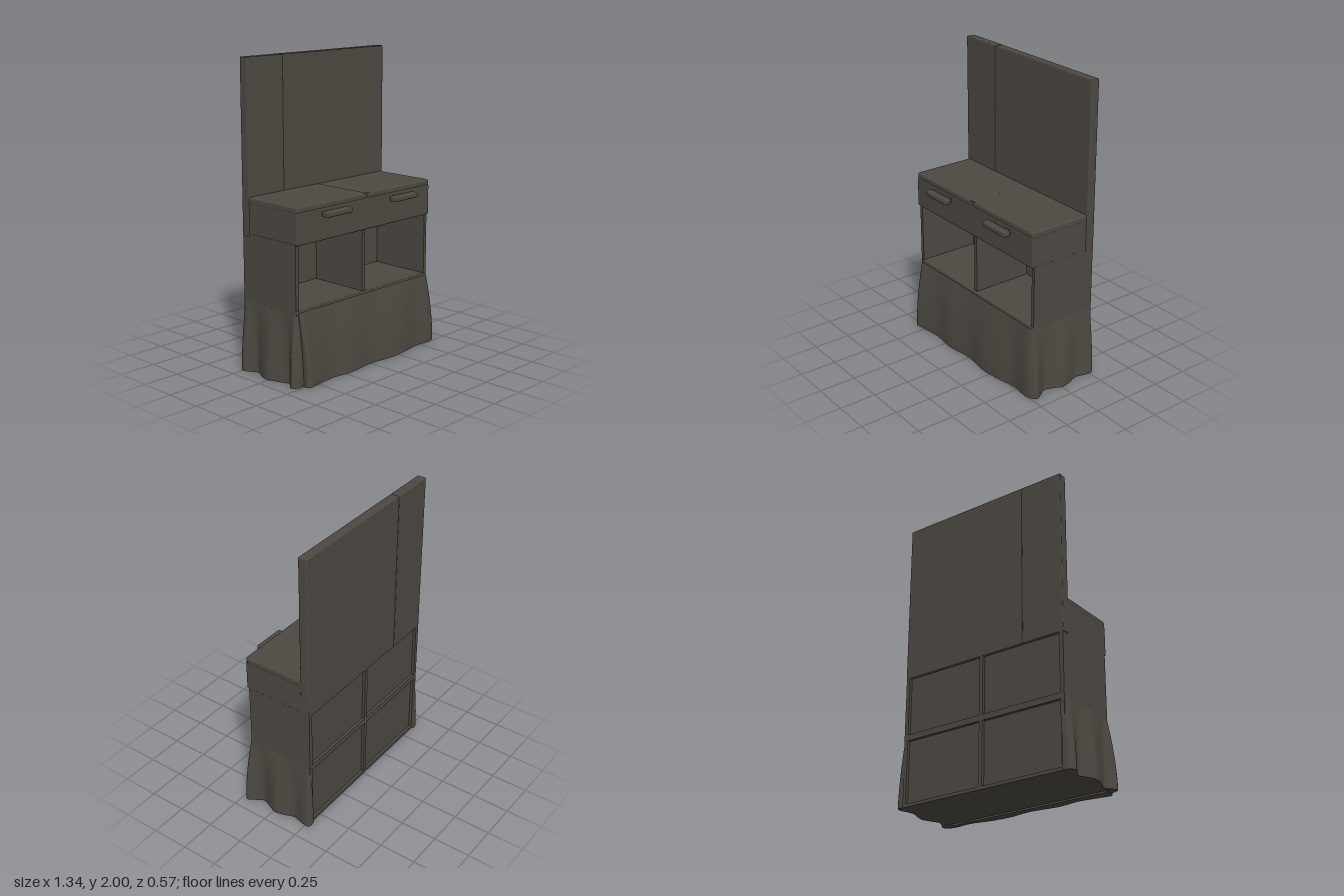
import * as THREE from 'three';
import { RoundedBoxGeometry } from 'three/addons/geometries/RoundedBoxGeometry.js';

const wood = new THREE.MeshStandardMaterial({ color: 0x4d4841, side: THREE.DoubleSide });
wood.name = 'dark taupe';

// Box given by its limits, with optional rounded edges
function block(parent, name, [x0, x1], [y0, y1], [z0, z1], radius = 0) {
  const w = x1 - x0, h = y1 - y0, d = z1 - z0;
  const geo = radius ? new RoundedBoxGeometry(w, h, d, 3, radius) : new THREE.BoxGeometry(w, h, d);
  const mesh = new THREE.Mesh(geo, wood);
  mesh.name = name;
  mesh.position.set((x0 + x1) / 2, (y0 + y1) / 2, (z0 + z1) / 2);
  parent.add(mesh);
  return mesh;
}

// Cloth panel lofted from a straight top edge to a wavy hem; points are [topX, topZ, hemX, hemZ]
function drape(parent, name, points, topY) {
  const top = new THREE.CatmullRomCurve3(points.map(p => new THREE.Vector3(p[0], topY, p[1])));
  const hem = new THREE.CatmullRomCurve3(points.map(p => new THREE.Vector3(p[2], 0, p[3])));
  const cols = 96, rows = 14, pos = [], index = [];
  for (let r = 0; r <= rows; r++) {
    const t = r / rows, flare = 1 - Math.pow(1 - t, 1.7);
    for (let c = 0; c <= cols; c++) {
      const a = top.getPoint(c / cols), b = hem.getPoint(c / cols);
      pos.push(a.x + (b.x - a.x) * flare, topY * (1 - t), a.z + (b.z - a.z) * flare);
      if (r < rows && c < cols) {
        const i = r * (cols + 1) + c, j = i + cols + 1;
        index.push(i, j, i + 1, i + 1, j, j + 1);
      }
    }
  }
  const geo = new THREE.BufferGeometry();
  geo.setAttribute('position', new THREE.Float32BufferAttribute(pos, 3));
  geo.setIndex(index);
  geo.computeVertexNormals();
  const mesh = new THREE.Mesh(geo, wood);
  mesh.name = name;
  parent.add(mesh);

  // Flat underside closing the hem against the cabinet
  const under = [], uIndex = [];
  for (let c = 0; c <= cols; c++) {
    const a = top.getPoint(c / cols), b = hem.getPoint(c / cols);
    under.push(a.x, 0.004, a.z, b.x, 0, b.z);
    if (c < cols) uIndex.push(2 * c, 2 * c + 2, 2 * c + 1, 2 * c + 1, 2 * c + 2, 2 * c + 3);
  }
  const uGeo = new THREE.BufferGeometry();
  uGeo.setAttribute('position', new THREE.Float32BufferAttribute(under, 3));
  uGeo.setIndex(uIndex);
  uGeo.computeVertexNormals();
  const uMesh = new THREE.Mesh(uGeo, wood);
  uMesh.name = name + 'Hem';
  parent.add(uMesh);
}

export function createModel() {
  const model = new THREE.Group();
  model.name = 'displayCounter';
  const L = -0.62, R = 0.608, back = -0.252;

  // Tall backboard in two leaves with a fine joint between them
  const board = new THREE.Group();
  board.name = 'backboard';
  model.add(board);
  block(board, 'boardRightLeaf', [-0.624, -0.323], [0.88, 2], [-0.272, -0.211], 0.006);
  block(board, 'boardLeftLeaf', [-0.319, 0.613], [0.88, 2], [-0.272, -0.211], 0.006);
  block(board, 'boardJoint', [-0.33, -0.31], [0.885, 1.996], [-0.268, -0.215]);

  // Cabinet: solid base, side walls, divider and thin back
  const cabinet = new THREE.Group();
  cabinet.name = 'cabinet';
  model.add(cabinet);
  block(cabinet, 'base', [L, R], [0.004, 0.46], [back, 0.19]);
  block(cabinet, 'shelf', [L, R], [0.455, 0.482], [back, 0.205], 0.006);
  block(cabinet, 'rightWall', [L, -0.594], [0.47, 0.9], [back, 0.2]);
  block(cabinet, 'leftWall', [0.584, R], [0.47, 0.9], [back, 0.2]);
  block(cabinet, 'divider', [-0.018, 0.008], [0.47, 0.9], [back, 0.19]);
  block(cabinet, 'backPanel', [L, R], [0.47, 0.9], [back, -0.228]);

  // Raised rails and stiles framing four panels at the rear
  const frame = new THREE.Group();
  frame.name = 'rearFrame';
  model.add(frame);
  for (const [y0, y1] of [[0.004, 0.025], [0.445, 0.485]])
    block(frame, 'rearRail', [L, R], [y0, y1], [-0.272, -0.24]);
  for (const [x0, x1] of [[L, -0.592], [-0.018, 0.008], [0.58, R]])
    block(frame, 'rearStile', [x0, x1], [0.004, 0.885], [-0.272, -0.24]);

  // Drawer section with a rounded worktop in two halves
  const drawers = new THREE.Group();
  drawers.name = 'drawerSection';
  model.add(drawers);
  block(drawers, 'drawerFront', [L, R], [0.893, 1.1], [-0.23, 0.218], 0.01);
  block(drawers, 'worktopRight', [L, -0.003], [1.085, 1.133], [-0.23, 0.215], 0.014);
  block(drawers, 'worktopLeft', [-0.001, R], [1.085, 1.133], [-0.23, 0.215], 0.014);
  block(drawers, 'worktopJoint', [-0.03, 0.03], [1.09, 1.131], [-0.225, 0.21]);

  // Bar handles standing off on small necks
  for (const x of [-0.316, 0.303]) {
    const handle = new THREE.Group();
    handle.name = 'handle';
    model.add(handle);
    block(handle, 'handleBar', [x - 0.113, x + 0.113], [1.047, 1.083], [0.233, 0.285], 0.01);
    for (const s of [-0.07, 0.07])
      block(handle, 'handleNeck', [x + s - 0.015, x + s + 0.015], [1.053, 1.075], [0.21, 0.24]);
  }

  // Draped skirt: a separate right side, then the front running on round the left side
  const skirt = new THREE.Group();
  skirt.name = 'skirt';
  model.add(skirt);
  drape(skirt, 'rightSkirt', [
    [-0.612, -0.272, -0.6, -0.28], [L, -0.26, -0.65, -0.275], [L, -0.23, -0.668, -0.24],
    [L, -0.15, -0.625, -0.15], [L, -0.07, -0.655, -0.08], [L, -0.01, -0.672, -0.02],
    [L, 0.06, -0.648, 0.06], [L, 0.13, -0.624, 0.14], [L, 0.18, -0.662, 0.185],
    [L, 0.195, -0.668, 0.215], [-0.612, 0.2, -0.63, 0.235], [-0.59, 0.2, -0.585, 0.235],
  ], 0.46);
  drape(skirt, 'frontAndLeftSkirt', [
    [-0.6, 0.19, -0.59, 0.22], [-0.6, 0.212, -0.588, 0.28], [-0.5, 0.212, -0.5, 0.275],
    [-0.36, 0.212, -0.36, 0.26], [-0.2, 0.212, -0.2, 0.278], [0, 0.212, 0, 0.257],
    [0.18, 0.212, 0.18, 0.278], [0.32, 0.212, 0.32, 0.268], [0.46, 0.212, 0.47, 0.24],
    [0.57, 0.212, 0.61, 0.25], [0.605, 0.205, 0.67, 0.215], [R, 0.18, 0.65, 0.172],
    [R, 0.11, 0.616, 0.11], [R, 0.05, 0.64, 0.04], [R, -0.01, 0.66, -0.015],
    [R, -0.07, 0.645, -0.08], [R, -0.15, 0.622, -0.15], [R, -0.23, 0.642, -0.24],
    [R, -0.262, 0.635, -0.28], [0.6, -0.272, 0.59, -0.283],
  ], 0.472);

  return model;
}
